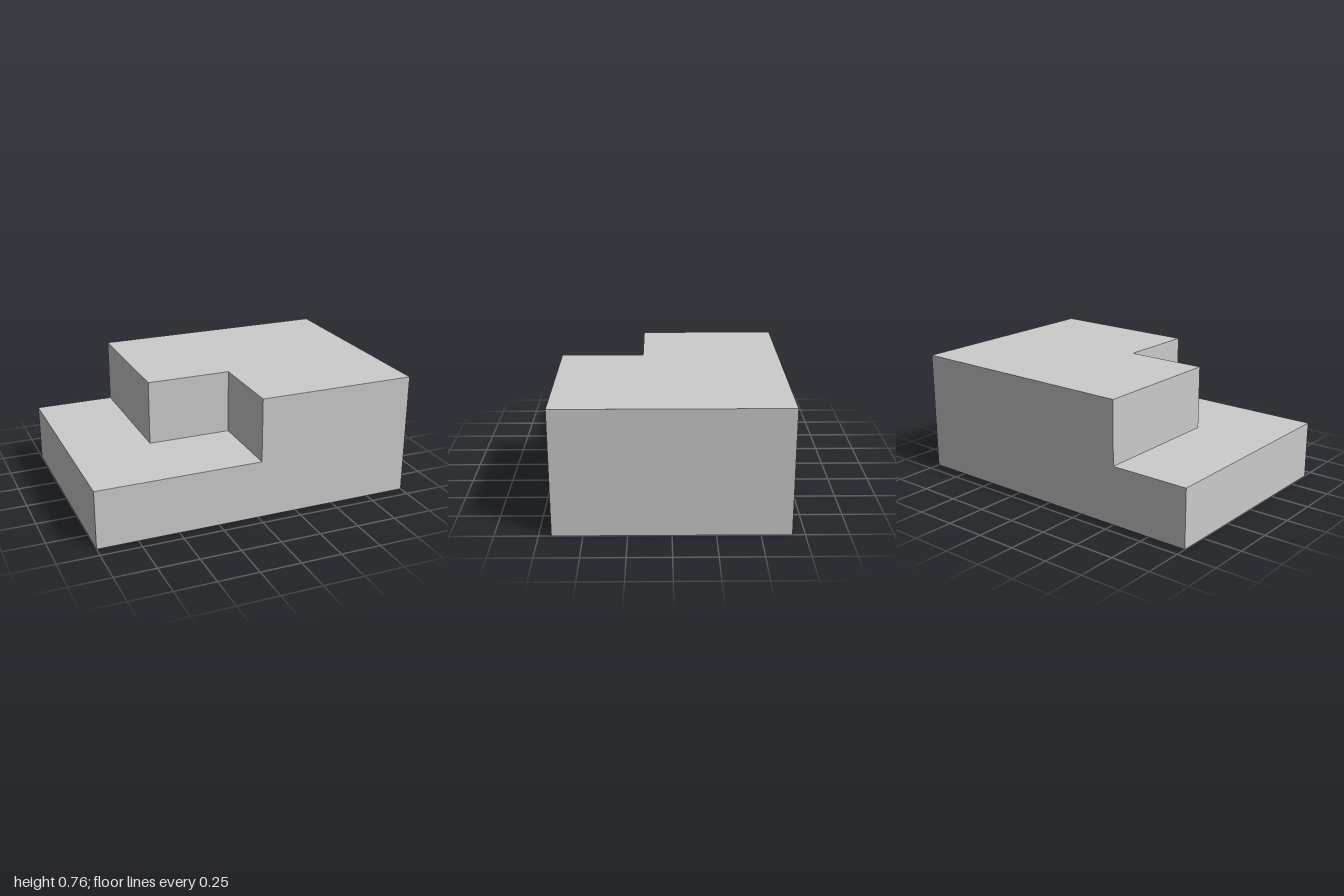
import * as THREE from 'three';

const X = 1, Z = 0.677;          // half width and half depth
const LOW = 0.362, TOP = 0.757;  // roof heights
const RECESS = 0.02, WALL = 0.02;

export function createModel() {
  const model = new THREE.Group();
  const material = new THREE.MeshStandardMaterial({ color: 0xcccccc, flatShading: true });

  const add = (name, geometry) => {
    const mesh = new THREE.Mesh(geometry, material);
    mesh.name = name;
    model.add(mesh);
  };
  const points = (list) => list.map(([x, z]) => new THREE.Vector2(x, z));

  // Upright prism over a plan given as [x, z] corners
  const prism = (name, plan, bottom, top, hole) => {
    const shape = new THREE.Shape(points(plan));
    if (hole) shape.holes.push(new THREE.Path(points(hole)));
    const geometry = new THREE.ExtrudeGeometry(shape, { depth: top - bottom, bevelEnabled: false });
    add(name, geometry.rotateX(Math.PI / 2).translate(0, top, 0));
  };
  const rectangle = (x, z) => [[-x, -z], [x, -z], [x, z], [-x, z]];

  // Tall and low volumes share a stepped dividing line
  const step = [[-0.5, -Z], [-0.5, 0.17], [0.02, 0.17], [0.02, Z]];
  prism('tallBlock', [...step, [X, Z], [X, -Z]], RECESS, TOP);
  prism('lowBlock', [...step, [-X, Z], [-X, -Z]], RECESS, LOW);

  // Base rim around the recessed underside
  prism('baseRim', rectangle(X, Z), 0, RECESS, rectangle(X - WALL, Z - WALL));

  // Partition footings under the floor: [x1, z1, x2, z2]
  const inner = Z - WALL;
  const footings = [
    [0.02, -inner, 0.02, inner],
    [-0.24, -inner, -0.24, 0.16],
    [0.31, 0.16, 0.31, inner],
    [-0.24, 0.16, 0.31, 0.16],
  ];
  for (const [x1, z1, x2, z2] of footings) {
    const geometry = new THREE.BoxGeometry(x2 - x1 + WALL, RECESS, z2 - z1);
    const across = z1 === z2;
    const box = across ? new THREE.BoxGeometry(x2 - x1 + WALL, RECESS, WALL) : geometry;
    add('partitionFooting', box.translate((x1 + x2) / 2, RECESS / 2, (z1 + z2) / 2));
  }

  return model;
}
